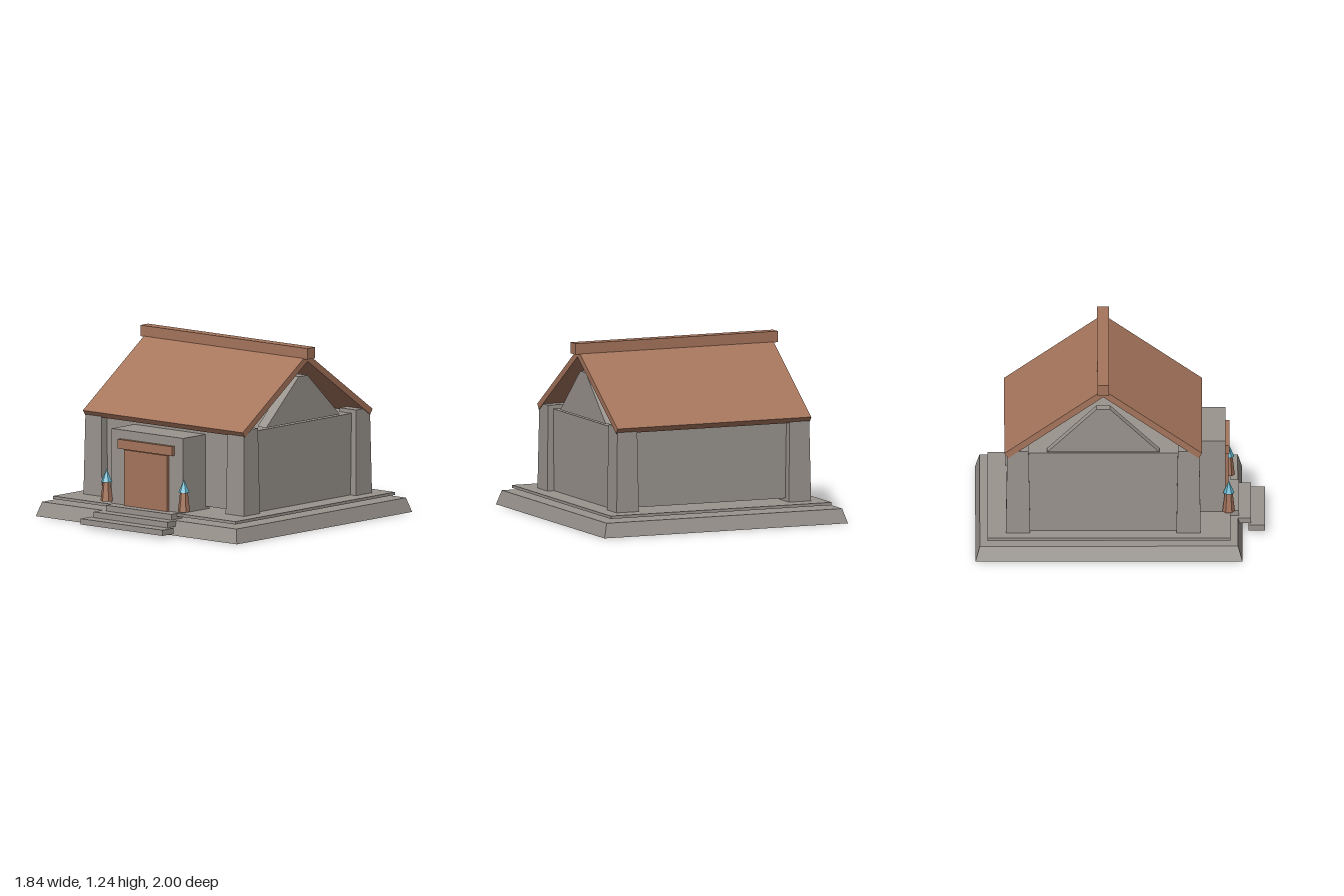
import * as THREE from 'three';

const mat = (name, color) => {
  const m = new THREE.MeshStandardMaterial({ color });
  m.name = name;
  return m;
};

// Box whose top is scaled by tx and tz
function taperedBox(w, h, d, tx, tz) {
  const g = new THREE.BoxGeometry(w, h, d);
  const p = g.attributes.position;
  for (let i = 0; i < p.count; i++) {
    if (p.getY(i) > 0) {
      p.setX(i, p.getX(i) * tx);
      p.setZ(i, p.getZ(i) * tz);
    }
  }
  g.computeVertexNormals();
  return g;
}

export function createModel() {
  const root = new THREE.Group();
  root.name = 'house';
  const stone = mat('stone grey', 0x9a948e);
  const wood = mat('terracotta brown', 0xa6755c);
  const blue = mat('light blue', 0x5fb4cc);
  const sides = [-1, 1];
  const cz = -0.117; // middle of the house

  const add = (name, geo, m, x = 0, y = 0, z = 0) => {
    const mesh = new THREE.Mesh(geo, m);
    mesh.name = name;
    mesh.position.set(x, y, z);
    root.add(mesh);
    return mesh;
  };
  // Box given by its extents
  const block = (name, m, x0, x1, y0, y1, z0, z1) =>
    add(name, new THREE.BoxGeometry(x1 - x0, y1 - y0, z1 - z0), m,
      (x0 + x1) / 2, (y0 + y1) / 2, (z0 + z1) / 2);

  // Foundation and platform
  add('foundation', taperedBox(1.84, 0.1, 1.844, 0.967, 0.967), stone, 0, 0.05, -0.078);
  block('platform', stone, -0.835, 0.835, 0.12, 0.14, -0.915, 0.762);

  // Entrance steps, lowest first
  [[0.375, 0.02, 1.0], [0.34, 0.06, 0.905], [0.3, 0.1, 0.82]].forEach(([w, y, z]) =>
    block('step', stone, -w, w, y, y + 0.04, z - 0.115, z));

  // Walls
  block('mainWalls', stone, -0.62, 0.62, 0.16, 0.71, cz - 0.61, cz + 0.61);
  for (const s of sides) {
    add('sideWall', new THREE.BoxGeometry(0.07, 0.57, 1.1), stone, s * 0.65, 0.425, cz);
    add('gable', taperedBox(0.08, 0.315, 0.774, 1, 0.12), stone, s * 0.65, 0.8775, cz);
    // Corner pillars
    for (const t of sides) {
      add('cornerPillar', taperedBox(0.168, 0.597, 0.168, 0.88, 0.88), stone,
        s * 0.651, 0.4385, cz + t * 0.589);
    }
  }

  // Porch and door
  block('porch', stone, -0.327, 0.327, 0.14, 0.663, 0.45, 0.727);
  block('door', wood, -0.198, 0.198, 0.14, 0.53, 0.72, 0.748);
  block('doorLintel', wood, -0.248, 0.248, 0.535, 0.6, 0.72, 0.756);

  // Roof slopes and ridge beam
  const run = 0.683, eave = 0.726, peak = 1.195, thick = 0.044;
  const angle = Math.atan2(peak - eave, run);
  const slope = new THREE.BoxGeometry(1.464, thick, Math.hypot(run, peak - eave));
  for (const t of sides) {
    const slab = add('roofSlope', slope, wood, 0,
      (eave + peak) / 2 - Math.cos(angle) * thick / 2,
      cz + t * (run / 2 - Math.sin(angle) * thick / 2));
    slab.rotation.x = t * angle;
  }
  block('ridgeBeam', wood, -0.765, 0.765, 1.163, 1.24, cz - 0.041, cz + 0.041);

  // Torches beside the entrance
  for (const s of sides) {
    const post = new THREE.CylinderGeometry(0.027, 0.043, 0.135, 6).toNonIndexed();
    const flame = new THREE.ConeGeometry(0.039, 0.09, 6).toNonIndexed();
    post.computeVertexNormals();
    flame.computeVertexNormals();
    add('torchPost', post, wood, s * 0.354, 0.224, 0.75);
    add('torchFlame', flame, blue, s * 0.354, 0.336, 0.75);
  }
  return root;
}
